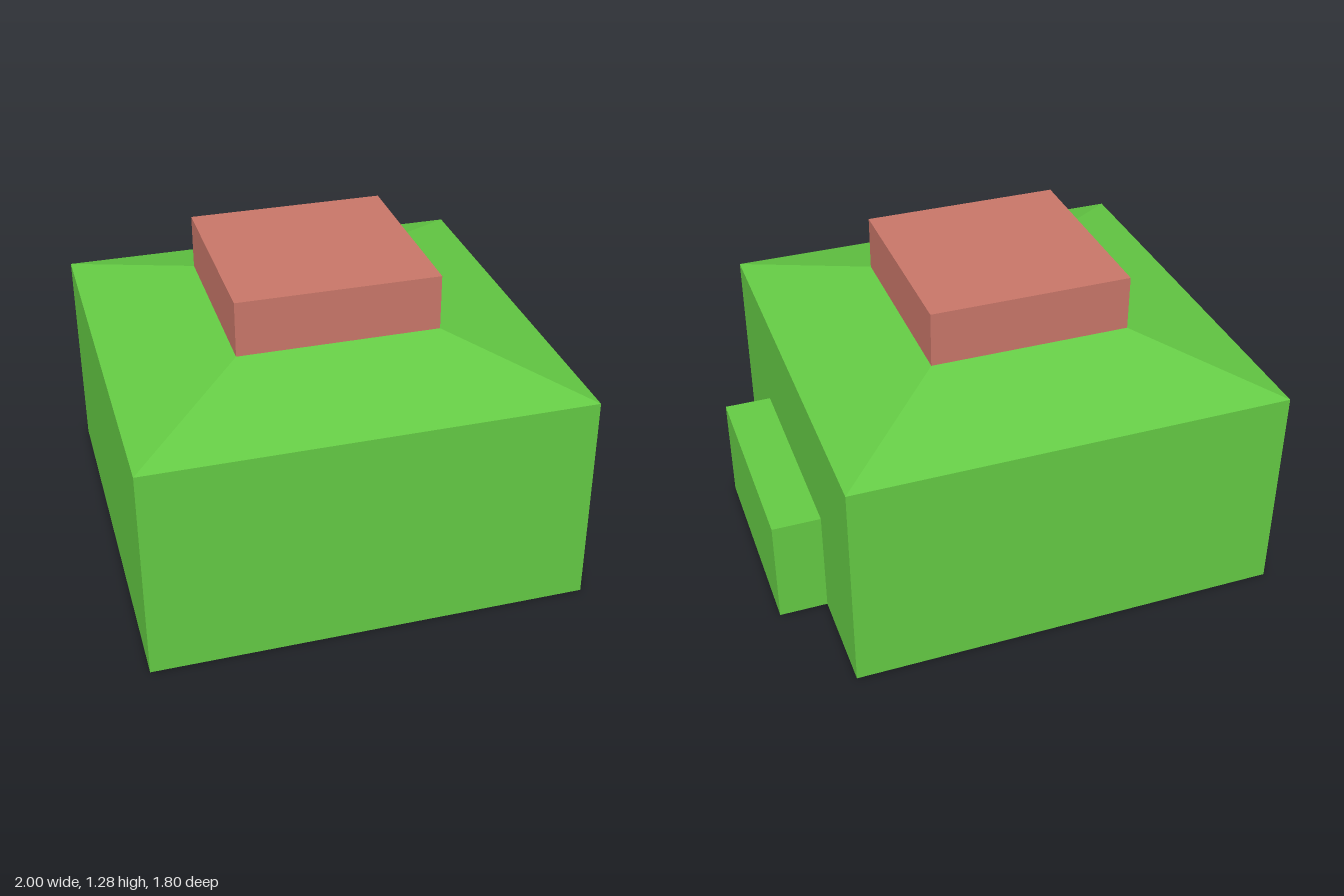
import * as THREE from 'three';

const CENTRE_X = -0.1; // the porch on one side shifts the house off centre
const HOUSE_HALF = 0.9;
const EAVES_Y = 0.905;
const ROOF_TOP_Y = 1.055;
const CAP_HALF = 0.415;
const CAP_TOP_Y = 1.285;

export function createModel() {
  const model = new THREE.Group();
  model.name = 'house';
  const green = new THREE.MeshStandardMaterial({ color: 0x64cb44, flatShading: true });
  const red = new THREE.MeshStandardMaterial({ color: 0xc97769, flatShading: true });

  const add = (name, geometry, material, x, y) => {
    const mesh = new THREE.Mesh(geometry, material);
    mesh.name = name;
    mesh.position.set(x, y, 0);
    model.add(mesh);
  };
  // Box standing on height y0
  const addBox = (name, material, x, y0, y1, width, depth) =>
    add(name, new THREE.BoxGeometry(width, y1 - y0, depth), material, x, (y0 + y1) / 2);

  // Walls and side porch
  addBox('walls', green, CENTRE_X, 0, EAVES_Y, HOUSE_HALF * 2, HOUSE_HALF * 2);
  addBox('porch', green, 0.9, 0, 0.455, 0.2, 0.9);

  // Sloping roof: a four-sided frustum turned square to the walls
  const roof = new THREE.CylinderGeometry(
    CAP_HALF * Math.SQRT2, HOUSE_HALF * Math.SQRT2, ROOF_TOP_Y - EAVES_Y, 4, 1
  ).rotateY(Math.PI / 4);
  add('roof', roof, green, CENTRE_X, (EAVES_Y + ROOF_TOP_Y) / 2);

  // Raised block on the roof
  addBox('roofCap', red, CENTRE_X, ROOF_TOP_Y, CAP_TOP_Y, CAP_HALF * 2, CAP_HALF * 2);

  return model;
}
